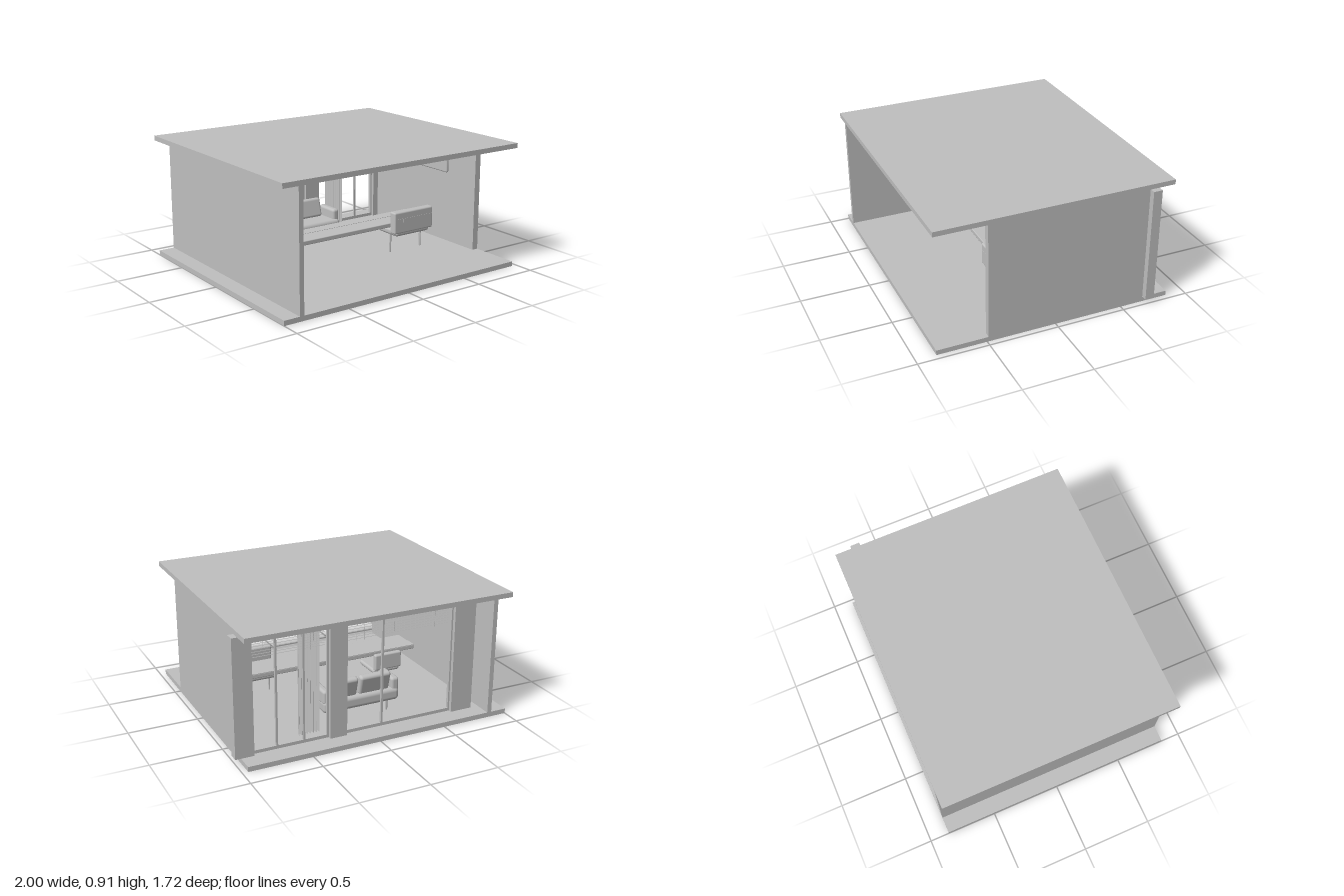
import * as THREE from 'three';
import { RoundedBoxGeometry } from 'three/addons/geometries/RoundedBoxGeometry.js';

export function createModel() {
  const root = new THREE.Group();
  const grey = new THREE.MeshStandardMaterial({ color: 0xbfbfbf });
  grey.name = 'plaster grey';

  function add(geometry, name, parent, x = 0, y = 0, z = 0) {
    const mesh = new THREE.Mesh(geometry, grey);
    mesh.name = name;
    mesh.position.set(x, y, z);
    parent.add(mesh);
    return mesh;
  }
  // Box given by its limits on each axis; r > 0 rounds the edges
  function box(name, [x0, x1], [y0, y1], [z0, z1], parent = root, r = 0) {
    const size = [x1 - x0, y1 - y0, z1 - z0];
    const geometry = r ? new RoundedBoxGeometry(...size, 3, r) : new THREE.BoxGeometry(...size);
    return add(geometry, name, parent, (x0 + x1) / 2, (y0 + y1) / 2, (z0 + z1) / 2);
  }
  function group(name) {
    const g = new THREE.Group();
    g.name = name;
    root.add(g);
    return g;
  }
  function leg(parent, x, z, y0, y1, r = 0.008) {
    add(new THREE.CylinderGeometry(r, r * 0.85, y1 - y0, 16), 'leg', parent, x, (y0 + y1) / 2, z);
  }

  // Slabs and walls
  const tall = [0.035, 0.875];
  box('floor', [-1, 0.96], [0, 0.035], [-0.86, 0.857]);
  box('roof', [-1, 0.96], [0.875, 0.91], [-0.86, 0.857]);
  box('rightWall', [-0.883, -0.85], tall, [-0.86, 0.857]);
  box('leftWall', [0.913, 0.96], tall, [-0.67, 0.49]);
  for (const span of [[-0.79, -0.625], [0.195, 0.32], [0.868, 1]])
    box('column', span, tall, [-0.738, -0.672]);

  // Window frames between the columns
  const frames = group('windowFrames');
  const depth = [-0.712, -0.695];
  for (const [a, b] of [[-0.625, 0.195], [0.32, 0.868]]) {
    box('sill', [a, b], [0.035, 0.058], depth, frames);
    box('head', [a, b], [0.86, 0.875], depth, frames);
    box('jamb', [a, a + 0.012], tall, depth, frames);
    box('jamb', [b - 0.012, b], tall, depth, frames);
  }
  for (const x of [-0.083, 0.5, 0.695])
    box('mullion', [x - 0.007, x + 0.007], tall, depth, frames);

  // Slatted blinds
  const blinds = group('blinds');
  for (const [a, b] of [[-0.615, -0.1], [-0.073, 0.185], [0.325, 0.855]]) {
    box('blindRail', [a, b], [0.855, 0.87], [-0.665, -0.64], blinds);
    for (let i = 0; i < 10; i++) {
      const y = 0.684 + i * 0.0182;
      const slat = box('slat', [a, b], [y - 0.0015, y + 0.0015], [-0.665, -0.64], blinds);
      slat.rotation.x = 0.4;
    }
    for (const x of [a + 0.1, b - 0.1])
      box('cord', [x - 0.001, x + 0.001], [0.67, 0.86], [-0.6535, -0.6515], blinds);
  }

  // Pleated curtain: a wavy ribbon extruded upwards
  const pleats = new THREE.Shape();
  const n = 72, wave = (i) => 0.018 * Math.cos((i / n) * Math.PI * 14);
  for (let i = 0; i <= n; i++) pleats.lineTo(0.35 + (0.15 * i) / n, wave(i));
  for (let i = n; i >= 0; i--) pleats.lineTo(0.35 + (0.15 * i) / n, wave(i) + 0.004);
  pleats.curves.shift();
  const curtainGeometry = new THREE.ExtrudeGeometry(pleats, { depth: 0.825, bevelEnabled: false });
  curtainGeometry.rotateX(-Math.PI / 2);
  add(curtainGeometry, 'curtain', root, 0, 0.048, -0.61);

  // Panel on the inside of the left wall
  box('wallPanel', [0.89, 0.914], [0.575, 0.78], [-0.25, 0.2], root, 0.01);

  // Long desk
  const desk = group('desk');
  box('deskTop', [-0.73, 0.68], [0.237, 0.27], [-0.03, 0.2], desk, 0.006);
  box('deskStrip', [-0.73, 0.68], [0.268, 0.272], [-0.03, 0.06], desk);

  // Armchair at the end of the desk, with its back to the front
  const armchair = group('armchair');
  box('back', [0.337, 0.698], [0.2, 0.363], [0.215, 0.275], armchair, 0.012);
  box('seat', [0.36, 0.675], [0.175, 0.225], [0.05, 0.265], armchair, 0.02);
  box('seam', [0.36, 0.42], [0.308, 0.312], [0.274, 0.277], armchair);
  box('seam', [0.42, 0.685], [0.308, 0.312], [0.274, 0.277], armchair);
  box('seam', [0.418, 0.422], [0.28, 0.312], [0.274, 0.277], armchair);
  for (const x of [0.38, 0.665]) leg(armchair, x, 0.17, 0.035, 0.19);

  // Sofa facing the desk
  const sofa = group('sofa');
  box('base', [-0.325, 0.265], [0.105, 0.2], [-0.53, -0.3], sofa, 0.03);
  for (const [a, b] of [[-0.253, -0.015], [0, 0.2]]) {
    const cushion = box('backCushion', [a, b], [0.19, 0.338], [-0.52, -0.465], sofa, 0.02);
    cushion.rotation.x = -0.25;
  }
  for (const [a, b] of [[-0.325, -0.265], [0.21, 0.265]])
    box('arm', [a, b], [0.17, 0.275], [-0.52, -0.32], sofa, 0.02);
  for (const x of [-0.235, 0.22])
    for (const z of [-0.5, -0.335]) leg(sofa, x, z, 0.035, 0.125, 0.01);

  // Swivel chair behind the desk
  const chair = group('swivelChair');
  const cx = -0.41, cz = -0.06;
  box('seat', [cx - 0.11, cx + 0.11], [0.165, 0.2], [cz - 0.12, cz + 0.1], chair, 0.016);
  box('back', [cx - 0.108, cx + 0.108], [0.2, 0.322], [cz - 0.15, cz - 0.11], chair, 0.012);
  leg(chair, cx, cz, 0.065, 0.175, 0.009);
  for (let i = 0; i < 5; i++) {
    const a = (i / 5) * Math.PI * 2 + 0.3;
    const spoke = add(new THREE.BoxGeometry(0.1, 0.01, 0.014), 'spoke', chair,
      cx + Math.cos(a) * 0.048, 0.067, cz + Math.sin(a) * 0.048);
    spoke.rotation.y = -a;
    const wheel = add(new THREE.CylinderGeometry(0.014, 0.014, 0.016, 16), 'caster', chair,
      cx + Math.cos(a) * 0.095, 0.049, cz + Math.sin(a) * 0.095);
    wheel.rotation.set(Math.PI / 2, 0, a);
  }
  return root;
}
